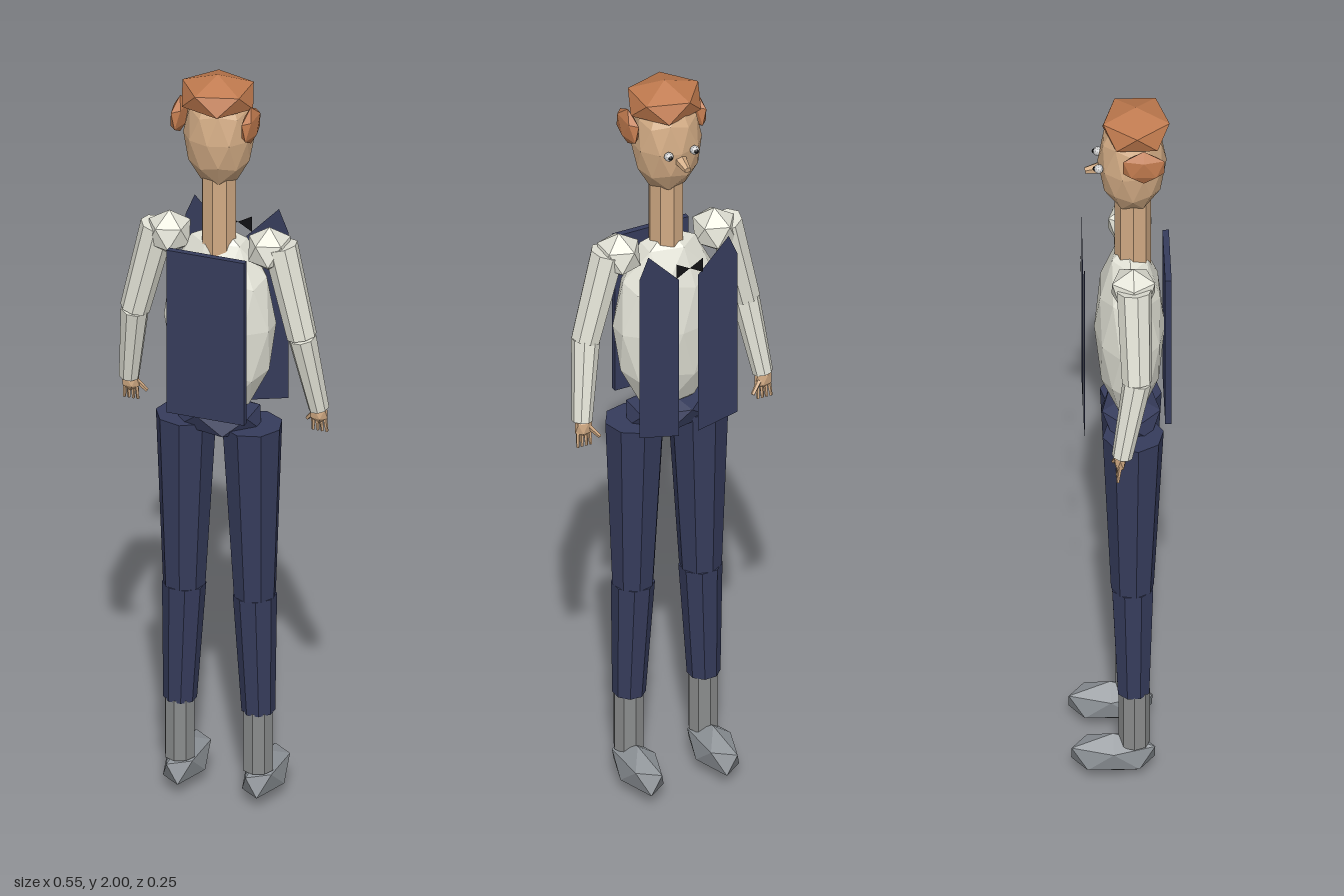
import * as THREE from 'three';

const mat = (color, extra = {}) => new THREE.MeshStandardMaterial({ color, flatShading: true, ...extra });
const skin = mat(0xd2ab84), hairMat = mat(0xc07a4e), shirt = mat(0xe4e4d8), navy = mat(0x363c5c);
const sockMat = mat(0x8a8c8c), shoeMat = mat(0x8c9196), white = mat(0xf0f0f0), black = mat(0x111114);
const navyFlat = mat(0x363c5c, { side: THREE.DoubleSide });
const blackFlat = mat(0x111114, { side: THREE.DoubleSide });
const V = (x, y, z) => new THREE.Vector3(x, y, z);

function add(parent, name, geometry, material) {
  const mesh = new THREE.Mesh(geometry, material);
  mesh.name = name;
  parent.add(mesh);
  return mesh;
}

// faceted ball with one corner pointing up, scaled to the given radii
function ball(parent, name, material, pos, radii, detail = 0) {
  const g = new THREE.IcosahedronGeometry(1, detail);
  g.rotateZ(Math.atan(2 / (1 + Math.sqrt(5))));
  g.scale(...radii);
  g.translate(...pos);
  return add(parent, name, g, material);
}

// tapered limb between two points
function limb(parent, name, material, a, b, ra, rb, sides = 8) {
  const d = b.clone().sub(a);
  const m = add(parent, name, new THREE.CylinderGeometry(rb, ra, d.length(), sides), material);
  m.position.copy(a).add(b).multiplyScalar(0.5);
  m.quaternion.setFromUnitVectors(V(0, 1, 0), d.normalize());
  return m;
}

function flatPanel(parent, name, material, points, z) {
  const g = new THREE.ShapeGeometry(new THREE.Shape(points.map(p => new THREE.Vector2(...p))));
  g.translate(0, 0, z);
  return add(parent, name, g, material);
}

export function createModel() {
  const root = new THREE.Group();
  root.name = 'figure';

  // head and neck; the face looks toward -z
  ball(root, 'head', skin, [0, 1.835, 0.028], [0.09, 0.145, 0.086], 1);
  ball(root, 'hairCap', hairMat, [0, 1.945, 0.038], [0.105, 0.055, 0.097]);
  limb(root, 'neck', skin, V(0, 1.5, 0.03), V(0, 1.73, 0.03), 0.045, 0.045);
  limb(root, 'nose', skin, V(0, 1.815, -0.045), V(0, 1.805, -0.088), 0.017, 0.009, 6);

  // trunk
  ball(root, 'torso', shirt, [0, 1.315, 0.022], [0.146, 0.262, 0.088], 1);
  ball(root, 'pelvis', navy, [0, 1.05, 0.025], [0.125, 0.052, 0.085]);
  const back = add(root, 'vestBack', new THREE.BoxGeometry(0.206, 0.45, 0.016), navy);
  back.position.set(0, 1.308, 0.115);

  for (const s of [1, -1]) {
    const side = new THREE.Group();
    side.name = s > 0 ? 'plusXSide' : 'minusXSide';
    root.add(side);

    // side hair and eyes
    ball(side, 'sideHair', hairMat, [s * 0.094, 1.883, 0.054], [0.018, 0.05, 0.06]);
    ball(side, 'eye', white, [s * 0.036, 1.837, -0.056], [0.012, 0.012, 0.012], 1);
    ball(side, 'pupil', black, [s * 0.036, 1.838, -0.065], [0.006, 0.006, 0.006], 1);

    // vest front and bow tie wing
    flatPanel(side, 'vestFront', navyFlat, [[s * 0.026, 1.04], [s * 0.137, 1.065],
      [s * 0.137, 1.525], [s * 0.112, 1.585], [s * 0.026, 1.495]], -0.093);
    flatPanel(side, 'bowTie', blackFlat, [[0, 1.526], [s * 0.037, 1.505], [s * 0.037, 1.547]], -0.1);

    // arm
    const elbow = V(s * 0.222, 1.31, 0.033), wrist = V(s * 0.252, 1.1, -0.005);
    ball(side, 'shoulder', shirt, [s * 0.133, 1.535, 0.027], [0.06, 0.06, 0.063]);
    limb(side, 'upperArm', shirt, V(s * 0.163, 1.55, 0.028), elbow, 0.044, 0.038);
    limb(side, 'forearm', shirt, elbow, wrist, 0.036, 0.026);

    // hand
    ball(side, 'palm', skin, [s * 0.25, 1.085, -0.01], [0.026, 0.03, 0.016]);
    for (let i = 0; i < 4; i++) {
      const x = s * (0.235 + i * 0.01);
      limb(side, 'finger', skin, V(x, 1.08, -0.01), V(x + s * (i - 1) * 0.002, 1.033, -0.016), 0.006, 0.004, 5);
    }
    limb(side, 'thumb', skin, V(s * 0.238, 1.085, -0.015), V(s * 0.213, 1.055, -0.026), 0.007, 0.005, 5);

    // leg
    const knee = V(s * 0.094, 0.57, 0.026), ankle = V(s * 0.104, 0.25, 0.028);
    limb(side, 'thigh', navy, V(s * 0.088, 1.042, 0.028), knee, 0.077, 0.054);
    limb(side, 'shin', navy, knee, ankle, 0.055, 0.042);
    limb(side, 'sock', sockMat, V(s * 0.104, 0.09, 0.03), V(s * 0.104, 0.255, 0.03), 0.039, 0.039);
    ball(side, 'shoe', shoeMat, [s * 0.105, 0.058, -0.022], [0.054, 0.058, 0.122]);
  }
  return root;
}
